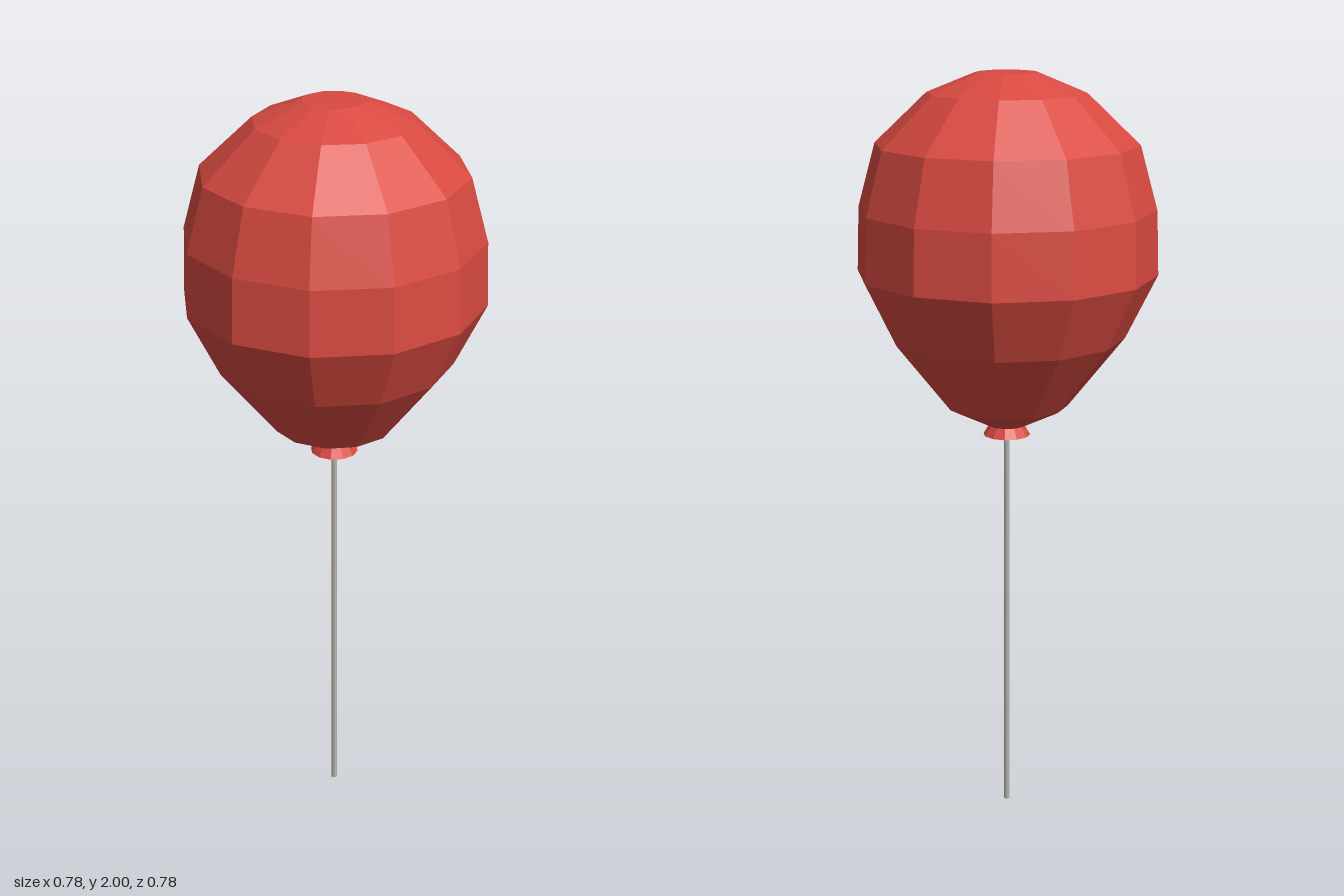
import * as THREE from 'three';

export function createModel() {
  const red = new THREE.MeshStandardMaterial({ color: 0xd94a41, flatShading: true });
  red.name = 'balloon red';
  const grey = new THREE.MeshStandardMaterial({ color: 0xb8b3ac });
  grey.name = 'string grey';

  const model = new THREE.Group();
  model.name = 'balloon';
  const add = (name, geometry, material, y = 0) => {
    const mesh = new THREE.Mesh(geometry, material);
    mesh.name = name;
    mesh.position.y = y;
    model.add(mesh);
  };

  // Faceted balloon skin, profile from the neck up to the flat crown
  const profile = [
    [0, 1.09], [0.05, 1.09], [0.16, 1.145], [0.307, 1.33], [0.388, 1.495],
    [0.382, 1.66], [0.337, 1.823], [0.203, 1.95], [0.08, 2], [0, 2],
  ].map(([r, y]) => new THREE.Vector2(r, y));
  add('balloonBody', new THREE.LatheGeometry(profile, 12), red);

  // Flared knot under the neck
  add('knot', new THREE.CylinderGeometry(0.043, 0.062, 0.032, 12), red, 1.079);

  // Straight string down to the ground
  add('string', new THREE.CylinderGeometry(0.008, 0.008, 1.08, 8), grey, 0.54);

  return model;
}
